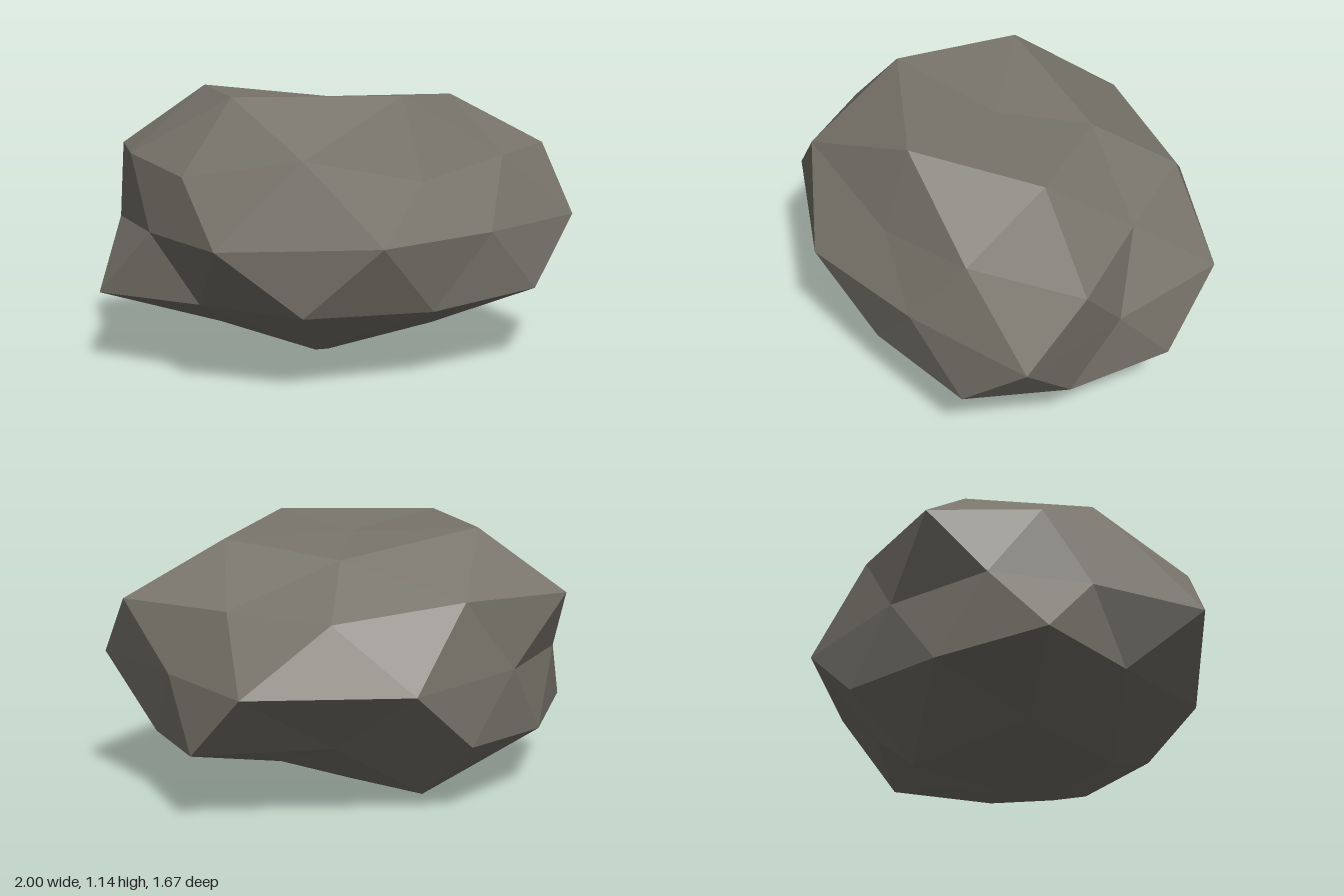
import * as THREE from 'three';

// A low-poly boulder: a once-subdivided icosahedron standing on one corner,
// squashed, with each corner pushed in or out along its own direction.
const CENTRE = new THREE.Vector3(-0.015, 0.59, 0.03);
const SQUASH = new THREE.Vector3(1, 0.57, 0.777);

// One ring of corners: height on the unit sphere, first angle, and push per corner
function ring(height, startDeg, pushes) {
  const r = Math.sqrt(1 - height * height);
  return pushes.map((push, i) => {
    const a = THREE.MathUtils.degToRad(startDeg + (360 / pushes.length) * i);
    return new THREE.Vector3(r * Math.cos(a), height, r * Math.sin(a))
      .multiply(SQUASH).multiplyScalar(push).add(CENTRE);
  });
}

function boulderGeometry() {
  const T = ring(1, 0, [0.89])[0];
  const U = ring(0.8507, 0, [1.037, 1.13, 1.12, 1.12, 0.94]);
  const V = ring(0.4472, 0, [1.09, 0.85, 0.975, 1.11, 1.05]);
  const W = ring(0.5257, 36, [0.94, 1.13, 0.99, 1.05, 0.905]);
  const E = ring(0, 18, [1.067, 0.9, 1.035, 1.09, 0.845, 0.9, 0.9, 1.12, 1.13, 0.88]);
  const B = ring(-0.4472, 36, [1.07, 1.08, 1.1, 1.07, 1.11]);
  const M = ring(-0.5257, 0, [1.0, 1.0, 0.92, 1.04, 0.9]);
  const L = ring(-0.8507, 36, [0.92, 1.0, 0.9, 1.12, 0.86]);
  const P = ring(-1, 0, [1.035])[0];

  const points = [];
  const normal = new THREE.Vector3();
  // Adds a triangle, turned so that it faces away from the centre
  const tri = (a, b, c) => {
    const face = new THREE.Triangle(a, b, c);
    face.getNormal(normal);
    const out = a.clone().add(b).add(c).divideScalar(3).sub(CENTRE);
    points.push(...(normal.dot(out) > 0 ? [a, b, c] : [a, c, b]));
  };

  for (let k = 0; k < 5; k++) {
    const n = (k + 1) % 5;
    const e0 = E[2 * k], e1 = E[2 * k + 1], ePrev = E[(2 * k + 9) % 10];
    // crown
    tri(T, U[k], U[n]);
    tri(U[k], V[k], W[k]);
    tri(U[k], W[k], U[n]);
    tri(U[n], W[k], V[n]);
    // upper flank
    tri(V[k], ePrev, e0);
    tri(V[k], e0, W[k]);
    tri(W[k], e0, e1);
    tri(W[k], e1, V[n]);
    // lower flank
    tri(M[k], ePrev, e0);
    tri(M[k], e0, B[k]);
    tri(B[k], e0, e1);
    tri(B[k], e1, M[n]);
    // underside
    tri(B[k], M[k], L[k]);
    tri(B[k], L[k], M[n]);
    tri(M[n], L[k], L[n]);
    tri(P, L[k], L[n]);
  }

  const geometry = new THREE.BufferGeometry().setFromPoints(points);
  geometry.computeVertexNormals();
  return geometry;
}

export function createModel() {
  const stone = new THREE.MeshStandardMaterial({ color: 0x78746b });
  stone.name = 'stone';
  stone.flatShading = true;

  const boulder = new THREE.Mesh(boulderGeometry(), stone);
  boulder.name = 'boulder';

  const model = new THREE.Group();
  model.name = 'rock';
  model.add(boulder);
  return model;
}
